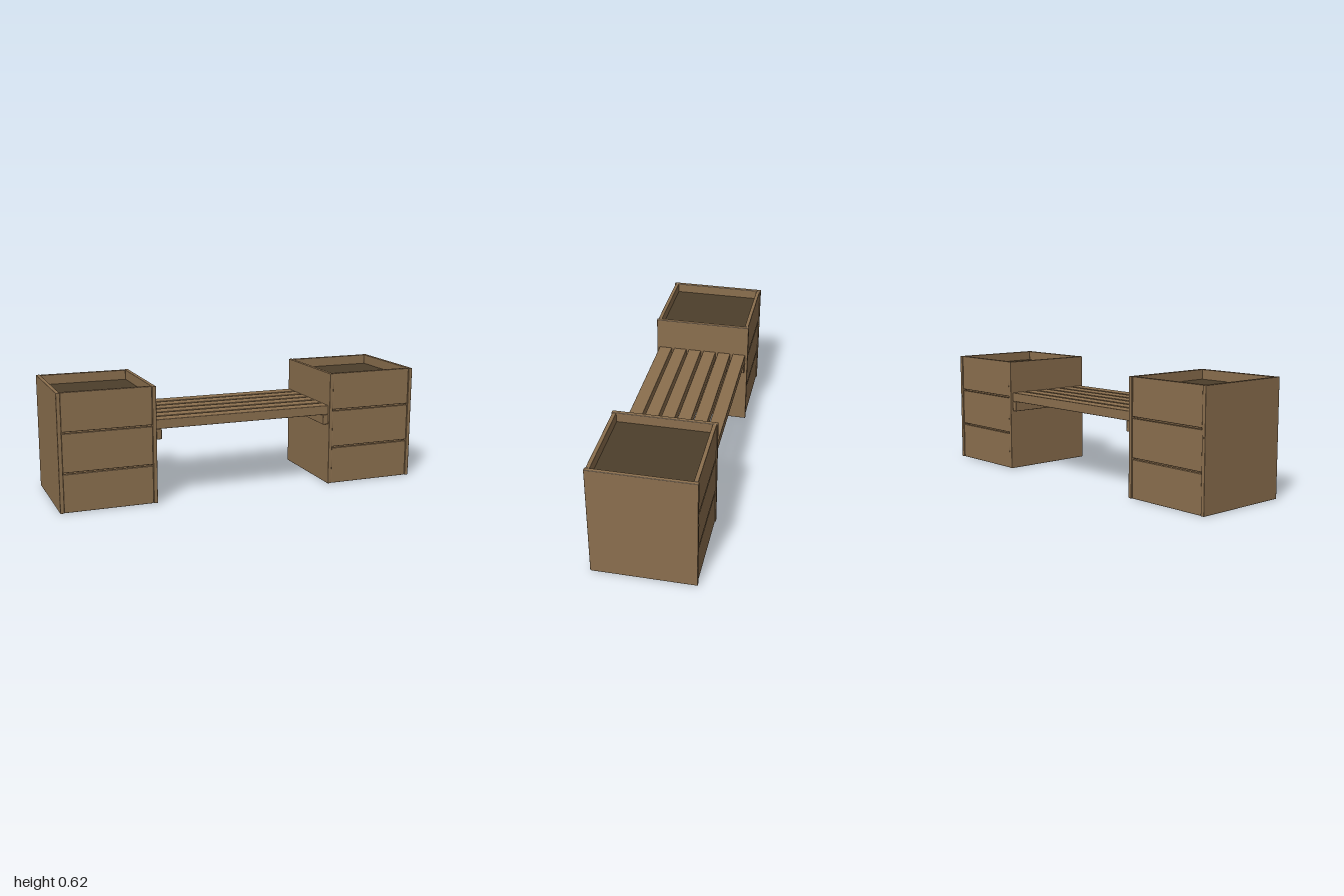
import * as THREE from 'three';
import { RoundedBoxGeometry } from 'three/addons/geometries/RoundedBoxGeometry.js';

const wood = new THREE.MeshStandardMaterial({ color: 0x8b6f4e });
wood.name = 'wood';
const soilBrown = new THREE.MeshStandardMaterial({ color: 0x4d3f2b });
soilBrown.name = 'soil brown';

// Board given by its min and max corners, with slightly eased edges
function board(name, [x0, x1], [y0, y1], [z0, z1], material = wood, ease = 0.003) {
  const w = x1 - x0, h = y1 - y0, d = z1 - z0;
  const geometry = ease > 0
    ? new RoundedBoxGeometry(w, h, d, 1, ease)
    : new THREE.BoxGeometry(w, h, d);
  const mesh = new THREE.Mesh(geometry, material);
  mesh.name = name;
  mesh.position.set((x0 + x1) / 2, (y0 + y1) / 2, (z0 + z1) / 2);
  return mesh;
}

// Planter box centred on its own x = 0; outward is +1 or -1
function planter(name, outward) {
  const box = new THREE.Group();
  box.name = name;
  const H = 0.617, X = 0.255, Z = 0.27, T = 0.021;

  // Full-height side panels
  for (const s of [-1, 1]) {
    const a = s * X, b = s * (X - T);
    box.add(board('sidePanel', [Math.min(a, b), Math.max(a, b)], [0, H], [-Z, Z]));
  }

  // Three planks on the front and back, with narrow open joints
  const gap = 0.008, plankH = (H - 2 * gap) / 3;
  for (let i = 0; i < 3; i++) {
    const y = i * (plankH + gap);
    const span = [-X + T, X - T];
    box.add(board('frontPlank', span, [y, y + plankH], [Z - 0.026, Z - 0.005]));
    box.add(board('backPlank', span, [y, y + plankH], [-Z + 0.005, -Z + 0.026]));
  }

  // Floor and soil
  const inner = [-X + T, X - T], depth = [-Z + 0.026, Z - 0.026];
  box.add(board('floor', inner, [0.003, 0.023], depth, wood, 0));
  box.add(board('soil', inner, [0.545, 0.565], depth, soilBrown, 0));

  // Small peg on the back edge of the outer panel
  const px = outward * (X - T / 2);
  box.add(board('peg', [px - 0.004, px + 0.004], [0.369, 0.377], [-Z - 0.003, -Z + 0.004], wood, 0));
  return box;
}

export function createModel() {
  const model = new THREE.Group();
  model.name = 'planterBench';

  // Planters at both ends
  for (const s of [-1, 1]) {
    const box = planter(s > 0 ? 'leftPlanter' : 'rightPlanter', s);
    box.position.x = s * 0.745;
    model.add(box);
  }

  // Seat slats
  const seat = new THREE.Group();
  seat.name = 'seat';
  const pitch = 0.0875, half = 0.0365;
  for (let i = 0; i < 6; i++) {
    const z = (i - 2.5) * pitch;
    seat.add(board('seatSlat', [-0.49, 0.49], [0.39, 0.44], [z - half, z + half]));
  }

  // Cleats under the slat ends
  seat.add(board('leftCleat', [0.459, 0.49], [0.335, 0.39], [-0.256, 0.256]));
  seat.add(board('rightCleat', [-0.49, -0.459], [0.335, 0.39], [-0.256, 0.256]));
  model.add(seat);

  return model;
}
